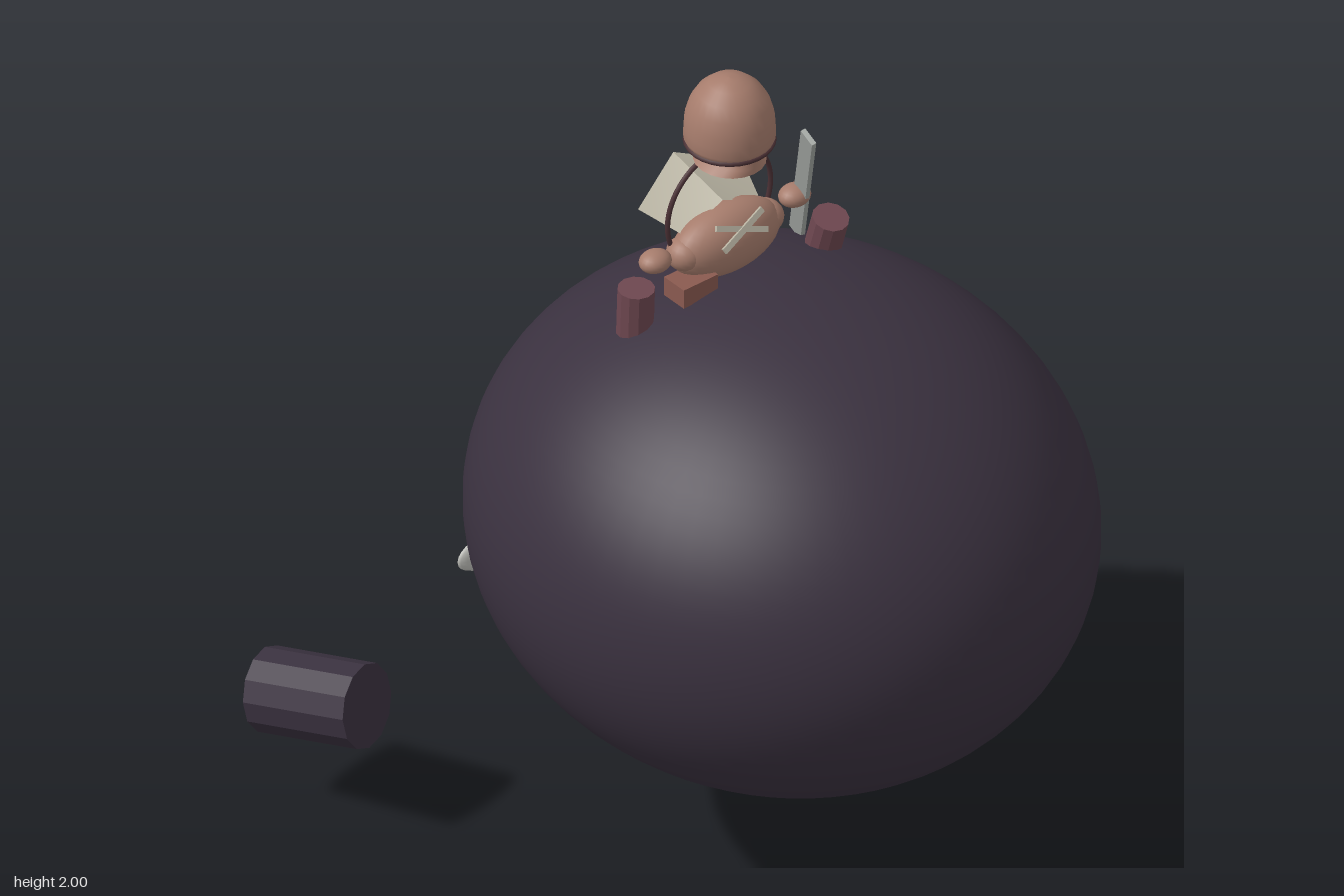
import * as THREE from 'three';

const mat = (name, color, extra = {}) =>
  Object.assign(new THREE.MeshStandardMaterial({ color, ...extra }), { name });

export function createModel() {
  const model = new THREE.Group();
  model.name = 'riderOnGiantBall';

  const dark = mat('dark plum', 0x3a313f);
  const darkFlat = mat('dark plum faceted', 0x3a313f, { flatShading: true });
  const skin = mat('clay skin', 0xa67c6c);
  const maroon = mat('maroon', 0x6e4750, { flatShading: true });
  const rust = mat('foot rust', 0x8a5a50);
  const hoopMat = mat('hoop brown', 0x4a3034);
  const cloth = mat('pale cloth', 0xb8b3a2, { side: THREE.DoubleSide });
  const steel = mat('steel', 0xa4a8a4);
  const eyeMat = mat('eye white', 0xbdbdb8);
  const black = mat('pupil black', 0x1c191c);

  const add = (name, geo, material, x = 0, y = 0, z = 0) => {
    const m = new THREE.Mesh(geo, material);
    m.name = name;
    m.position.set(x, y, z);
    model.add(m);
    return m;
  };
  const ball = (name, material, c, r, seg = 20) => {
    const m = add(name, new THREE.SphereGeometry(1, seg, Math.round(seg * 0.7)), material, ...c);
    m.scale.set(...r);
    return m;
  };
  // Faceted cylinder running between two points
  const barrel = (name, material, a, b, r) => {
    const p = new THREE.Vector3(...a), q = new THREE.Vector3(...b);
    const d = q.clone().sub(p);
    const m = add(name, new THREE.CylinderGeometry(r, r, d.length(), 12), material);
    m.position.copy(p).add(q).multiplyScalar(0.5);
    m.quaternion.setFromUnitVectors(new THREE.Vector3(0, 1, 0), d.normalize());
    return m;
  };

  const CX = 0.04;

  // Huge round body
  ball('giantBody', dark, [CX, 0.897, 0.11], [0.692, 0.593, 0.758], 64);

  // Loose blocks behind it
  barrel('rightBlock', darkFlat, [-0.655, 0.335, -0.515], [-0.74, 0.285, -0.765], 0.1);
  barrel('middleBlock', darkFlat, [0.215, 0.145, -0.59], [0.19, 0.107, -0.855], 0.104);
  barrel('leftBlock', darkFlat, [0.66, 0.305, -0.53], [0.745, 0.21, -0.79], 0.1);

  // Eyes, nostrils and stubby feet of the giant
  for (const s of [-1, 1]) {
    const ex = CX + s * 0.335;
    ball('eye', eyeMat, [ex, 0.615, -0.51], [0.1, 0.048, 0.018]);
    ball('iris', rust, [ex, 0.615, -0.523], [0.027, 0.027, 0.008], 12);
    ball('pupil', black, [ex, 0.615, -0.529], [0.019, 0.022, 0.007], 12);
    ball('nostril', black, [CX + s * 0.052, 0.281, -0.45], [0.012, 0.008, 0.007], 10);
    add('giantFoot', new THREE.BoxGeometry(0.09, 0.08, 0.12), rust, CX + s * 0.1, 0.366, -0.16);
  }

  // Rider torso and hands
  ball('torso', skin, [CX, 1.55, -0.09], [0.15, 0.085, 0.072], 28);
  for (const s of [-1, 1]) {
    ball('hand', skin, [CX + s * 0.203, 1.573, -0.092], [0.04, 0.026, 0.034]);
    ball('shoulder', skin, [CX + s * 0.115, 1.555, -0.092], [0.045, 0.04, 0.045]);
  }

  // Rider head: dome with a rim
  const profile = [[0, 1.82], [0.085, 1.822], [0.1, 1.832], [0.105, 1.845], [0.104, 1.87],
    [0.102, 1.9], [0.092, 1.935], [0.074, 1.965], [0.048, 1.988], [0.02, 1.998], [0, 2]];
  add('head', new THREE.LatheGeometry(profile.map(p => new THREE.Vector2(...p)), 28),
    skin, CX - 0.003, 0, -0.072);
  const band = add('headBand', new THREE.TorusGeometry(0.1, 0.006, 6, 28), hoopMat, CX - 0.003, 1.831, -0.072);
  band.rotation.x = Math.PI / 2;

  // Jaw pinched sideways at the top
  const jawGeo = new THREE.CylinderGeometry(0.084, 0.086, 0.06, 20, 4);
  const jp = jawGeo.attributes.position;
  for (let i = 0; i < jp.count; i++) {
    const t = (jp.getY(i) + 0.03) / 0.06;
    jp.setX(i, jp.getX(i) * (0.95 - 0.5 * Math.sqrt(t)));
  }
  jawGeo.computeVertexNormals();
  add('jaw', jawGeo, skin, CX, 1.807, -0.075);

  // Hoop over the shoulders
  const hoop = add('shoulderHoop', new THREE.TorusGeometry(0.15, 0.006, 8, 40, Math.PI + 0.7),
    hoopMat, CX, 1.63, -0.113);
  hoop.rotation.z = -0.35;

  // Folded cape: two panels meeting at a ridge
  for (const s of [-1, 1]) {
    const geo = new THREE.BufferGeometry();
    geo.setAttribute('position', new THREE.Float32BufferAttribute([
      0, 1.682, -0.275, s * 0.152, 1.625, -0.215,
      s * 0.11, 1.595, -0.1, 0, 1.645, -0.1], 3));
    geo.setIndex(s > 0 ? [0, 3, 2, 0, 2, 1] : [0, 2, 3, 0, 1, 2]);
    geo.computeVertexNormals();
    add('capePanel', geo, cloth, CX);
    // Crossed chest straps
    const strap = add('chestStrap', new THREE.BoxGeometry(0.14, 0.014, 0.008), cloth,
      CX, 1.602, -0.03 + s * 0.003);
    strap.rotation.set(-0.5, 0, s * 0.38);
  }

  // Boots and the exposed knee
  barrel('rightBoot', maroon, [-0.22, 1.525, -0.09], [-0.22, 1.4, -0.095], 0.043);
  barrel('leftBoot', maroon, [0.3, 1.518, -0.033], [0.3, 1.42, -0.063], 0.043);
  add('knee', new THREE.BoxGeometry(0.1, 0.05, 0.07), rust, -0.085, 1.49, -0.06);

  // Long flat blade held in the left hand
  const a = new THREE.Vector3(0.175, 1.835, 0.04), b = new THREE.Vector3(0.312, 1.4, -0.168);
  const blade = add('blade', new THREE.BoxGeometry(0.012, a.distanceTo(b), 0.044), steel);
  blade.position.copy(a).add(b).multiplyScalar(0.5);
  const up = a.clone().sub(b).normalize();
  const side = new THREE.Vector3(1, 0, 0).addScaledVector(up, -up.x).normalize();
  blade.quaternion.setFromRotationMatrix(
    new THREE.Matrix4().makeBasis(side, up, side.clone().cross(up)));

  return model;
}
